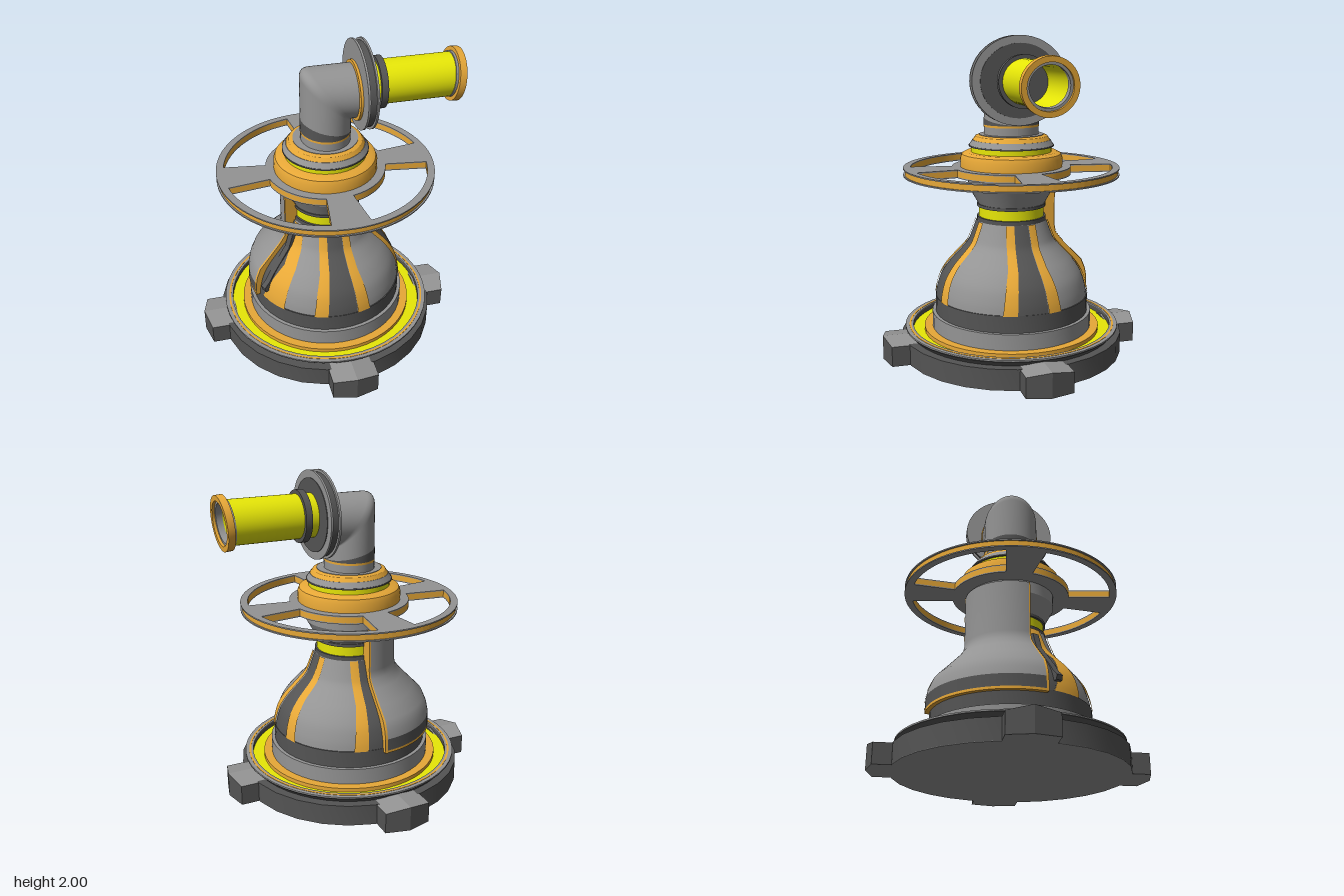
import * as THREE from 'three';
import { toCreasedNormals } from 'three/addons/utils/BufferGeometryUtils.js';

const mat = (name, color, side = THREE.FrontSide) => {
  const m = new THREE.MeshStandardMaterial({ color, side });
  m.name = name;
  return m;
};

export function createModel() {
  const grey = mat('grey', 0x949494);
  const dark = mat('dark grey', 0x545454);
  const yellow = mat('yellow', 0xecec08);
  const orange = mat('orange', 0xeaaa38, THREE.DoubleSide);
  const model = new THREE.Group();

  const add = (name, geo, material, parent = model) => {
    const mesh = new THREE.Mesh(geo, material);
    mesh.name = name;
    parent.add(mesh);
    return mesh;
  };
  const vecs = (pts) => pts.map(([x, y]) => new THREE.Vector2(x, y));
  // turned part from [radius, height] points, listed upwards on the outside
  const turn = (pts, seg = 48, start = 0, sweep = Math.PI * 2) =>
    toCreasedNormals(new THREE.LatheGeometry(vecs(pts), seg, start, sweep), 0.5);
  const disc = (r, y0, y1, r1 = r) => turn([[0, y0], [r, y0], [r1, y1], [0, y1]]);
  const ring = (ri, ro, y0, y1) => turn([[ri, y0], [ro, y0], [ro, y1], [ri, y1], [ri, y0]]);
  // smooth surface from a rule f(u, v) -> [x, y, z]
  const surface = (f, nu, nv) => {
    const g = new THREE.PlaneGeometry(1, 1, nu, nv);
    const p = g.attributes.position;
    for (let i = 0; i < p.count; i++) p.setXYZ(i, ...f(p.getX(i) + 0.5, p.getY(i) + 0.5));
    g.computeVertexNormals();
    return g;
  };

  // base plate with rim and coloured trough
  add('basePlate', turn([[0.705, 0.003], [0.705, 0.13], [0, 0.13]], 28), dark);
  add('baseUnderside', turn([[0, 0], [0.705, 0], [0.705, 0.003]], 28), grey);
  add('baseRim', turn([[0.65, 0.13], [0.66, 0.145], [0.684, 0.166], [0.684, 0.172], [0.635, 0.172], [0.635, 0.13]]), dark);
  add('rimTop', ring(0.634, 0.684, 0.17, 0.177), grey);
  add('rimInlay', ring(0.648, 0.66, 0.175, 0.179), orange);
  add('troughFloor', ring(0.55, 0.636, 0.13, 0.14), yellow);
  add('troughStep', ring(0.5, 0.562, 0.13, 0.165), orange);

  // four gabled, pointed lugs around the base
  for (let k = 0; k < 4; k++) {
    const g = new THREE.BoxGeometry(0.29, 0.127, 0.18, 2, 1, 1).toNonIndexed();
    g.translate(0, 0.0635, 0.71);
    const p = g.attributes.position;
    for (let i = 0; i < p.count; i++) {
      if (Math.abs(p.getX(i)) > 0.01) continue;
      if (p.getZ(i) > 0.75) p.setZ(i, 0.836);
      if (p.getY(i) > 0.1) p.setY(i, 0.153);
    }
    g.computeVertexNormals();
    g.clearGroups();
    for (let i = 0; i < p.count; i += 3) g.addGroup(i, 3, Math.abs(g.attributes.normal.getY(i)) > 0.5 ? 1 : 0);
    add('lug', g, [dark, grey]).rotation.y = k * Math.PI / 2;
  }

  // drums and bell-shaped body
  add('lowerDrum', disc(0.51, 0.13, 0.265), grey);
  add('upperDrum', disc(0.488, 0.265, 0.372), dark);
  const bell = new THREE.SplineCurve(vecs([[0.482, 0.37], [0.472, 0.43], [0.445, 0.51], [0.395, 0.585],
    [0.335, 0.65], [0.28, 0.71], [0.255, 0.76], [0.22, 0.855]]));
  add('bellBody', new THREE.LatheGeometry(bell.getPoints(28), 64), grey);

  // painted strips that follow the bell, angles given at bottom, middle and top
  const at = (a, v) => (v < 0.5 ? a[0] + (a[1] - a[0]) * v * 2 : a[1] + (a[2] - a[1]) * (v * 2 - 1));
  const strip = (name, material, a0, a1, off) => add(name, surface((u, v) => {
    const q = bell.getPoint(v);
    const phi = at(a0, v) * (1 - u) + at(a1, v) * u;
    return [(q.x + off) * Math.sin(phi), q.y, (q.x + off) * Math.cos(phi)];
  }, 12, 24), material);
  const inner = [0.2, 0.17, 0.2], outer = [0.38, 0.33, 0.42];
  const shift = (a, c, sign) => a.map((t) => c + sign * t);
  for (const c of [0, Math.PI / 2]) {
    strip('darkPanel', dark, shift(inner, c, -1), shift(inner, c, 1), 0.003);
    strip('orangeStripe', orange, shift(inner, c, 1), shift(outer, c, 1), 0.009);
    strip('orangeStripe', orange, shift(outer, c, -1), shift(inner, c, -1), 0.009);
  }
  strip('darkPanel', dark, shift(inner, Math.PI, -1), [Math.PI, Math.PI, Math.PI], 0.003);
  strip('orangeStripe', orange, shift(outer, Math.PI, -1), shift(inner, Math.PI, -1), 0.009);
  strip('orangeStripe', orange, [-1.2, -1.0, -1.22], [-0.8, -0.76, -0.85], 0.009);
  strip('darkPanel', dark, [-1.35, -1.35, -1.4], [-1.2, -1.0, -1.22], 0.006);

  // rear shell wrapped around the body, with orange trim along its edges
  const out = [[0.515, 0.35], [0.513, 0.44], [0.503, 0.49], [0.478, 0.55], [0.41, 0.62], [0.335, 0.7],
    [0.297, 0.75], [0.288, 0.8], [0.288, 1.13]];
  const back = [[0.2, 1.13], [0.2, 0.86], [0.25, 0.74], [0.3, 0.67], [0.38, 0.585], [0.44, 0.5], [0.465, 0.42], [0.475, 0.35]];
  const a = Math.PI, sweep = Math.PI / 2 + 0.28;
  add('shellSkin', new THREE.LatheGeometry(vecs(out.slice(1)), 32, a, sweep), grey);
  add('shellHem', turn([[0.515, 0.366], out[1]], 32, a, sweep), dark);
  add('shellLining', turn([out[8], ...back, out[0], [0.515, 0.366]], 32, a, sweep), orange);
  const trim = out.map(([r, y]) => [r + 0.003, y]);
  for (const [phi, start] of [[a, a], [a + sweep, a + sweep - 0.03]]) {
    add('shellEdge', new THREE.ShapeGeometry(new THREE.Shape(vecs([...out, ...back]))), orange)
      .rotation.y = phi - Math.PI / 2;
    add('shellTrim', new THREE.LatheGeometry(vecs(trim), 2, start, 0.03), orange);
  }

  // bent bracket beside the shell
  const bracketShape = new THREE.Shape(vecs([[0.42, 0.43], [0.5, 0.435], [0.507, 0.465], [0.47, 0.5], [0.435, 0.55],
    [0.31, 0.7], [0.275, 0.8], [0.22, 0.8], [0.24, 0.7], [0.4, 0.51]]));
  const bracket = new THREE.Group();
  bracket.name = 'sideBracket';
  bracket.rotation.y = Math.PI + 0.43;
  model.add(bracket);
  add('bracketArm', new THREE.ExtrudeGeometry(bracketShape, { depth: 0.04, bevelEnabled: false }), dark, bracket)
    .position.z = -0.02;

  // neck rings and collar
  add('lowerNeckRing', disc(0.217, 0.85, 0.88), dark);
  add('neckBand', disc(0.205, 0.87, 0.95), yellow);
  add('upperNeckRing', disc(0.217, 0.943, 0.962), dark);
  add('collar', turn([[0, 0.96], [0.21, 0.96], [0.272, 1.07], [0.272, 1.15], [0, 1.15]]), grey);

  // spoked wheel
  const wheel = (r, y, depth) => {
    const s = new THREE.Shape().absarc(0, 0, r, 0, Math.PI * 2);
    for (let k = 0; k < 4; k++) {
      const c = k * Math.PI / 2, h = new THREE.Path();
      h.absarc(0, 0, 0.63, c + 0.185, c + Math.PI / 2 - 0.185, false);
      h.absarc(0, 0, 0.372, c + Math.PI / 2 - 0.22, c + 0.22, true);
      h.closePath();
      s.holes.push(h);
    }
    const g = new THREE.ExtrudeGeometry(s, { depth, bevelEnabled: false, curveSegments: 40 });
    g.rotateX(-Math.PI / 2).translate(0, y, 0);
    return g;
  };
  add('wheelCore', wheel(0.665, 1.152, 0.036), orange);
  add('wheelLowerFace', wheel(0.675, 1.145, 0.008), grey);
  add('wheelUpperFace', wheel(0.675, 1.187, 0.008), grey);

  // stepped hub
  add('hub', turn([[0, 1.19], [0.32, 1.19], [0.32, 1.25], [0.31, 1.275], [0.285, 1.288], [0, 1.288]]), orange);
  add('hubBand', disc(0.252, 1.28, 1.325), yellow);
  add('hubStepEdge', disc(0.266, 1.321, 1.33), dark);
  add('hubStep', turn([[0, 1.329], [0.264, 1.329], [0.243, 1.362], [0, 1.362]]), grey);
  add('hubCap', turn([[0, 1.36], [0.242, 1.36], [0.225, 1.385], [0.205, 1.393], [0, 1.393]]), orange);
  add('pipeSeat', disc(0.2, 1.39, 1.396), grey);

  // elbow pipe: oval rings running up, round the bend and out to +x
  const elbow = (u, v) => {
    const t = -u * Math.PI * 2, c = Math.cos(t);
    const x = 0.152 * c, m = 1.692 - 0.163 * c, z = 0.172 * Math.sin(t);
    const b = 0.005 + 0.05 * (1 - c) / 2, k = v * 10;
    if (k < 1) return [x, 1.38 + (m - b - 1.38) * k, z];
    if (k > 9) return [x + b + (0.17 - x - b) * (k - 9), m, z];
    const w = (k - 1) / 8;
    return [x + b * w * w, m - b * (1 - w) * (1 - w), z];
  };
  add('elbowPipe', surface(elbow, 48, 10), grey);
  add('elbowTrim', disc(0.154, 1.444, 1.457), orange).scale.z = 1.13;
  add('elbowBand', surface((u, v) => {
    const t = u * Math.PI * 2, x = 0.154 * Math.sin(t);
    return [x, 1.457 + v * (0.042 - 0.24 * x), 0.174 * Math.cos(t)];
  }, 48, 1), dark);

  // side arm, turned about an axis along +x
  const arm = new THREE.Group();
  arm.name = 'sideArm';
  arm.position.set(0, 1.735, 0.015);
  arm.rotation.z = -Math.PI / 2;
  model.add(arm);
  const flange = add('elbowFlange', disc(0.178, 0.16, 0.178), orange, arm);
  flange.position.x = 0.035;
  flange.scale.z = 1.08;
  for (const [name, m, r, y0, y1] of [['flangeCore', dark, 0.25, 0.18, 0.235],
    ['flangeInnerDisc', grey, 0.265, 0.175, 0.188], ['flangeOuterDisc', grey, 0.265, 0.228, 0.24],
    ['flangeFace', dark, 0.22, 0.238, 0.244]]) {
    add(name, disc(r, y0, y1), m, arm).scale.z = 1.1;
  }
  add('barrel', turn([[0.133, 0.24], [0.133, 0.76], [0.118, 0.76], [0.118, 0.4]]), yellow, arm);
  add('barrelPlug', disc(0.12, 0.39, 0.405), dark, arm);
  add('barrelRing', ring(0.12, 0.157, 0.295, 0.335), dark, arm);

  // slightly tilted mouth
  const mouth = new THREE.Group();
  mouth.name = 'barrelMouth';
  mouth.position.y = 0.783;
  mouth.rotation.z = -0.09;
  arm.add(mouth);
  add('mouthCollar', ring(0.115, 0.139, -0.035, 0.005), grey, mouth);
  add('mouthRing', ring(0.131, 0.163, -0.02, 0.022), orange, mouth);
  return model;
}
